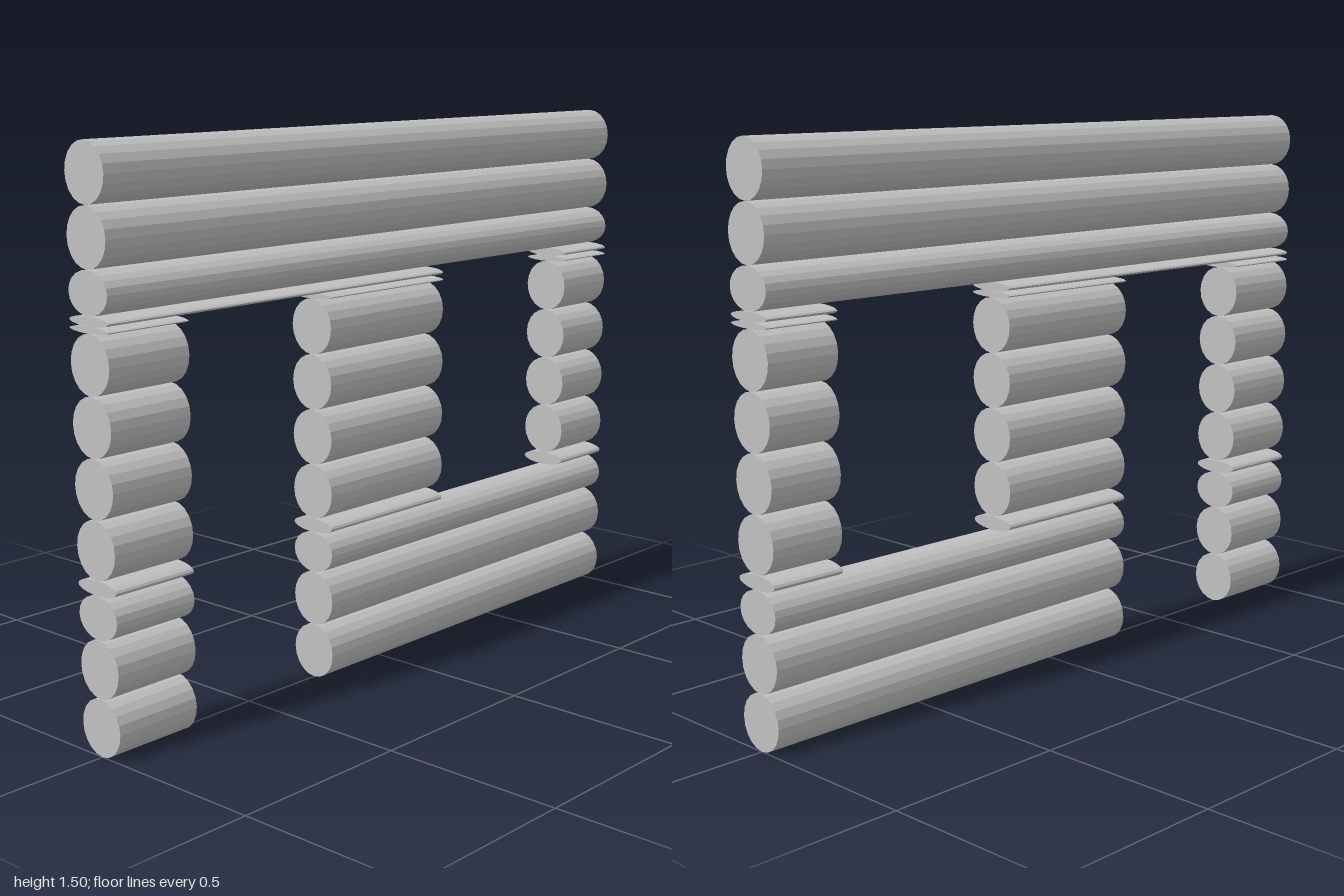
import * as THREE from 'three';

// Log wall with a doorway and a window opening
export function createModel() {
  const wall = new THREE.Group();
  wall.name = 'logWall';
  const wood = new THREE.MeshStandardMaterial({ color: 0xc0c0c0 });
  wood.name = 'plain grey';
  wood.flatShading = true;

  const DEPTH = 0.07;

  // One log lying along x, squashed to fill its course
  function log(name, x0, x1, y0, y1) {
    const geometry = new THREE.CylinderGeometry(1, 1, 1, 20);
    geometry.rotateZ(Math.PI / 2);
    geometry.scale(x1 - x0, (y1 - y0) / 2, DEPTH);
    const mesh = new THREE.Mesh(geometry, wood);
    mesh.name = name;
    mesh.position.set((x0 + x1) / 2, (y0 + y1) / 2, 0);
    wall.add(mesh);
  }

  // Spans along x
  const doorPost = [-1, -0.75];
  const middlePost = [-0.25, 0.21];
  const windowPost = [0.79, 1];
  const posts = [doorPost, middlePost, windowPost];
  const belowWindow = [doorPost, [-0.25, 1]];
  const aboveDoor = [[-1, 0.21], windowPost];
  const full = [[-1, 1]];

  // Courses from the ground up: name, bottom, top, spans
  const courses = [
    ['baseLog', 0, 0.15, belowWindow],
    ['lowerLog', 0.15, 0.3, belowWindow],
    ['sillLog', 0.3, 0.412, belowWindow],
    ['sillStrip', 0.412, 0.45, posts],
    ['postLog', 0.45, 0.6, posts],
    ['postLog', 0.6, 0.75, posts],
    ['postLog', 0.75, 0.9, posts],
    ['postLog', 0.9, 1.05, posts],
    ['doorHeadStrip', 1.05, 1.067, posts],
    ['lintelStrip', 1.067, 1.091, aboveDoor],
    ['lintelLog', 1.091, 1.2, full],
    ['upperLog', 1.2, 1.35, full],
    ['topLog', 1.35, 1.5, full],
  ];
  for (const [name, y0, y1, spans] of courses) {
    for (const [x0, x1] of spans) log(name, x0, x1, y0, y1);
  }
  return wall;
}
